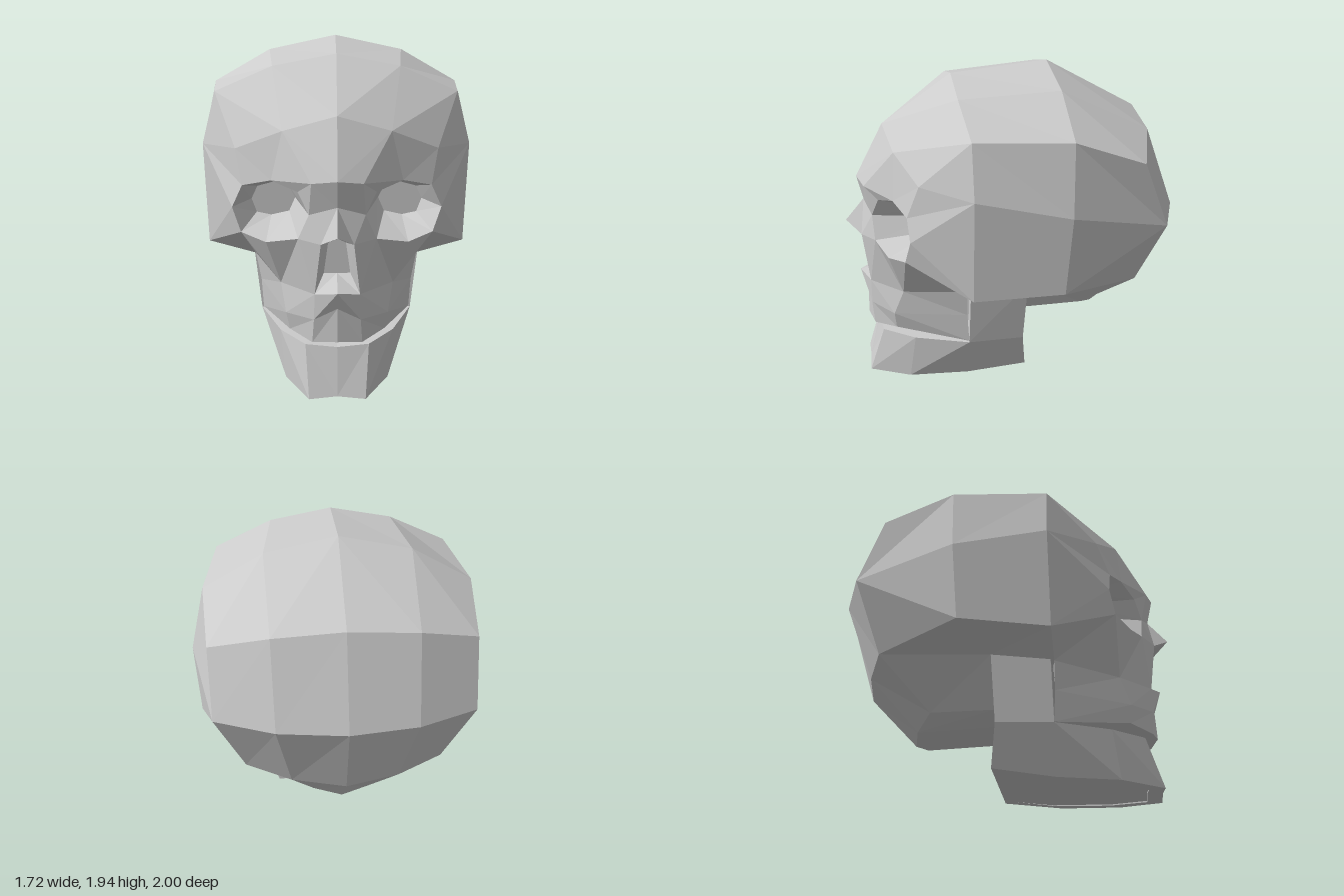
import * as THREE from 'three';

const material = new THREE.MeshStandardMaterial({ color: 0xcccccc, flatShading: true, side: THREE.DoubleSide });
const mean = (pts) => [0, 1, 2].map((k) => pts.reduce((s, p) => s + p[k], 0) / pts.length);
const mirror = ([x, y, z]) => [-x, y, z];

// Triangle wound so that it faces away from (sign 1) or towards (sign -1) a centre.
function oriented([a, b, c], centre, sign = 1) {
  const A = new THREE.Vector3(...a), B = new THREE.Vector3(...b), C = new THREE.Vector3(...c);
  const n = B.clone().sub(A).cross(C.clone().sub(A));
  const out = new THREE.Vector3(...mean([a, b, c])).sub(new THREE.Vector3(...centre));
  return n.dot(out) * sign >= 0 ? [a, b, c] : [a, c, b];
}

// Triangles between neighbouring rows of points.
function loft(rows) {
  const tris = [];
  for (let r = 0; r + 1 < rows.length; r++) {
    for (let i = 0; i + 1 < rows[r].length; i++) {
      const a = rows[r][i], b = rows[r][i + 1], c = rows[r + 1][i + 1], d = rows[r + 1][i];
      tris.push([a, b, c], [a, c, d]);
    }
  }
  return tris;
}

const fan = (centre, row) => row.slice(1).map((p, i) => [centre, row[i], p]);

// Block between two four-cornered sections, with optional end caps.
function block(A, B, capA, capB) {
  const tris = loft([[...A, A[0]], [...B, B[0]]]);
  if (capA) tris.push(...fan(A[0], A.slice(1)));
  if (capB) tris.push(...fan(B[0], B.slice(1)));
  const centre = mean([...A, ...B]);
  return tris.map((t) => oriented(t, centre));
}

// Mesh of a left half and its mirror image.
function symmetricMesh(name, tris) {
  const both = [...tris, ...tris.map(([a, b, c]) => [mirror(a), mirror(c), mirror(b)])];
  const geometry = new THREE.BufferGeometry();
  geometry.setAttribute('position', new THREE.Float32BufferAttribute(both.flat(2), 3));
  geometry.computeVertexNormals();
  const mesh = new THREE.Mesh(geometry, material);
  mesh.name = name;
  return mesh;
}

export function createModel() {
  const group = new THREE.Group();
  group.name = 'skull';
  const middle = [0, 1, 0];
  const add = (name, tris, centre = middle, sign = 1) =>
    group.add(symmetricMesh(name, tris.map((t) => oriented(t, centre, sign))));

  // Cranium: rows from the midline outwards, running over the top to the base
  const vault = [
    [[0, 1.59, .75], [.3, 1.5, .7], [.57, 1.38, .58]],
    [[0, 1.88, .33], [.37, 1.81, .33], [.71, 1.66, .3]],
    [[0, 1.94, -.25], [.42, 1.85, -.25], [.77, 1.65, -.25]],
    [[0, 1.64, -.8], [.4, 1.6, -.77], [.74, 1.5, -.66]],
    [[0, 1.12, -1], [.39, 1.12, -.95], [.73, 1.12, -.81]],
    [[0, .66, -.86], [.31, .68, -.8], [.57, .72, -.69]],
    [[0, .35, -.57], [.17, .38, -.53], [.31, .45, -.43]],
    [[0, .37, -.05], [.17, .4, -.05], [.32, .45, -.05]],
    [[0, .6, .3], [.2, .62, .3], [.4, .66, .3]],
  ];
  add('cranium', loft(vault));
  const rim = vault.map((row) => row[2]);

  // Sides of the head
  const sideMid = [[.79, 1.35, .3], [.86, 1.25, -.23], rim[4]];
  const sideLow = [[.77, .75, .31], [.84, .79, -.2], rim[4]];
  add('headSide', [
    ...loft([rim.slice(1, 4), sideMid]),
    ...loft([sideMid.slice(0, 2), sideLow.slice(0, 2)]),
    [sideMid[1], sideMid[2], sideLow[1]],
  ]);

  // Underside between the sides and the base
  const cheekBack = [.49, .67, .31], earBase = [.52, .71, -.05];
  add('headUnderside', [
    ...loft([sideLow.slice(0, 2), [cheekBack, earBase]]),
    ...fan(earBase, [sideLow[1], ...rim.slice(5), cheekBack]),
    [sideLow[1], rim[4], rim[5]],
  ]);

  // Face around the eye opening
  const eye = [
    [.154, 1.067, .84], [.215, 1.185, .8], [.364, 1.23, .72], [.53, 1.185, .65],
    [.59, 1.056, .64], [.54, .918, .67], [.395, .887, .76], [.215, .928, .83],
  ];
  const brow = [0, 1.27, .92], browSide = [.14, 1.25, .88], bridge = [0, 1.12, .885];
  const noseTip = [0, .985, 1], noseSide = [.09, .92, .91], noseFoot = [.125, .62, .87];
  const spine = [0, .645, .93], cheek = [.32, .62, .68];
  const [foreheadMid, foreheadSide, templeTop] = vault[0];
  add('forehead', [
    [foreheadMid, foreheadSide, brow], [foreheadSide, brow, browSide], [foreheadSide, browSide, eye[2]],
    [browSide, eye[1], eye[2]], [foreheadSide, eye[2], templeTop], [templeTop, eye[2], eye[3]],
  ]);
  add('temple', [
    [templeTop, rim[1], sideMid[0]],
    ...fan(sideMid[0], [templeTop, eye[3], eye[4], sideLow[0]]),
    [eye[4], eye[5], sideLow[0]],
  ]);
  add('noseBridge', [
    [brow, bridge, browSide], [browSide, bridge, eye[0]], [browSide, eye[0], eye[1]],
    [bridge, noseTip, noseSide], [bridge, noseSide, eye[0]], [eye[0], noseSide, eye[7]],
  ]);
  add('cheek', [
    [eye[7], noseSide, noseFoot], [eye[7], noseFoot, cheek], [eye[7], cheek, eye[6]],
    [eye[6], cheek, eye[5]], [eye[5], cheek, cheekBack], [eye[5], cheekBack, sideLow[0]],
  ]);

  // Eye sockets: the opening shrunk and pushed back
  const socketBack = eye.map(([x, y]) => [.36 + (x - .36) * .58, 1.07 + (y - 1.07) * .58, .48]);
  const closed = (ring) => [...ring, ring[0]];
  add('eyeSocket', [
    ...loft([closed(eye), closed(socketBack)]),
    ...fan(mean(socketBack), closed(socketBack)),
  ], [.36, 1.07, .66], -1);

  // Nose cavity
  const noseBack = [[0, .91, .72], [.05, .87, .72], [.075, .69, .72], [0, .69, .72]];
  add('noseCavity', [
    ...loft([[noseTip, noseSide, noseFoot, spine], noseBack]),
    ...fan(noseBack[0], noseBack.slice(1)),
  ], [0, .79, .88], -1);

  // Upper jaw with palate and back wall
  const upper = [
    [spine, noseFoot, cheek, cheekBack],
    [[0, .54, .885], [.13, .47, .87], [.29, .46, .74], [.46, .5, .31]],
    [[0, .345, .895], [.14, .33, .86], [.27, .355, .73], [.45, .315, .3]],
  ];
  const backEdge = upper.map((row) => row[3]);
  add('upperJaw', [
    ...loft(upper),
    ...fan([0, .33, .3], upper[2]),
    ...loft([backEdge, backEdge.map(([, y, z]) => [0, y, z])]),
  ], [0, .5, .5]);

  // Lower jaw: sections from the chin to the back corner
  const bottom = [[0, .015, .9], [.16, 0, .905], [.3, .015, .66], [.345, .03, .3], [.38, .08, -.06]];
  const top = [[0, .285, .83], [.18, .295, .81], [.33, .3, .62], [.46, .31, .3], [.47, .32, -.03]];
  const inward = ([x, y, z]) => [x * .83, y, z * .9];
  const sections = bottom.map((b, i) => [b, top[i], inward(top[i]), inward(b)]);
  const body = sections.slice(1).flatMap((s, i) => block(sections[i], s, false, i === 3));
  group.add(symmetricMesh('lowerJaw', body));
  add('lowerJawBase', fan([0, .08, -.06], bottom));

  // Upright branches of the lower jaw
  group.add(symmetricMesh('jawBranch', block(
    [top[3], [.5, .68, .29], [.43, .68, .29], [.39, .31, .3]],
    [top[4], [.52, .71, -.05], [.45, .71, -.05], [.4, .32, -.03]],
    true, true,
  )));
  return group;
}
